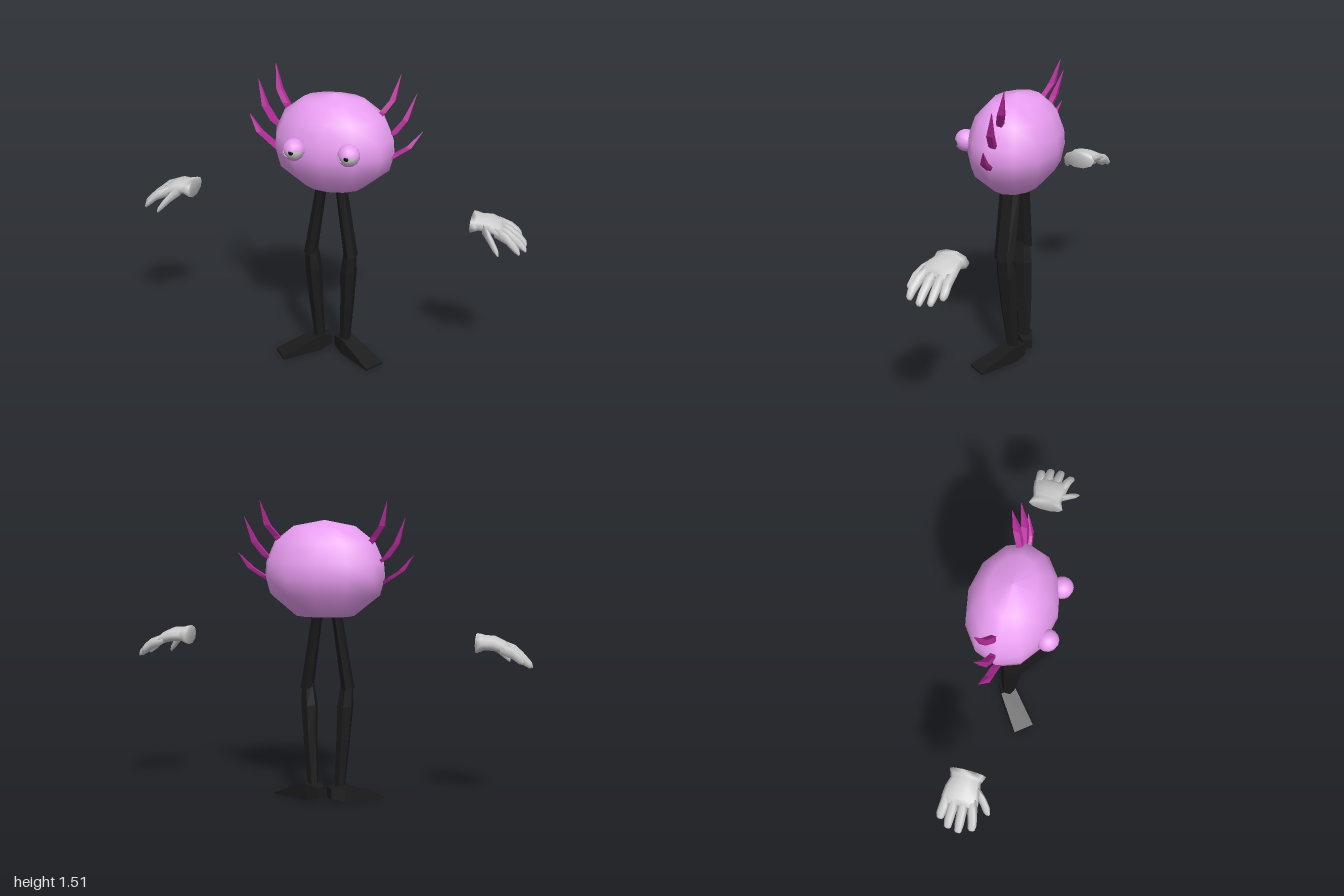
import * as THREE from 'three';

const MID = 0.02; // mirror line of the body; the hands mirror about x = 0

const material = (color, flatShading = false) =>
  new THREE.MeshStandardMaterial({ color, flatShading, side: THREE.DoubleSide });

function addMesh(parent, name, geometry, mat, x = 0, y = 0, z = 0) {
  const mesh = new THREE.Mesh(geometry, mat);
  mesh.name = name;
  mesh.position.set(x, y, z);
  parent.add(mesh);
  return mesh;
}

// Closed skin over rings [x, y, z, halfA, halfB]. Rings lie across the given axis:
// 'y' -> halfA along x, halfB along z; 'x' -> halfA along y, halfB along z.
// s = -1 mirrors the result in x.
function loft(rings, axis, sides, s = 1) {
  const pos = [], index = [], k = 1 / Math.cos(Math.PI / sides);
  const tri = (a, b, c) => (s > 0 ? index.push(a, b, c) : index.push(a, c, b));
  for (const [x, y, z, a, b] of rings) {
    for (let i = 0; i < sides; i++) {
      const t = ((i + 0.5) / sides) * Math.PI * 2;
      const u = a * k * Math.cos(t), v = b * k * Math.sin(t);
      if (axis === 'y') pos.push(s * (x + u), y, z - v);
      else pos.push(s * x, y + u, z + v);
    }
  }
  const last = (rings.length - 1) * sides;
  for (let r = 0; r < last; r += sides) {
    for (let i = 0; i < sides; i++) {
      const a = r + i, b = r + ((i + 1) % sides);
      tri(a, b, b + sides);
      tri(a, b + sides, a + sides);
    }
  }
  for (let i = 1; i < sides - 1; i++) {
    tri(0, i + 1, i);
    tri(last, last + i, last + i + 1);
  }
  const g = new THREE.BufferGeometry();
  g.setAttribute('position', new THREE.Float32BufferAttribute(pos, 3));
  g.setIndex(index);
  g.computeVertexNormals();
  return g;
}

export function createModel() {
  const model = new THREE.Group();
  const pink = material(0xe89cf0);
  const magenta = material(0xb52a9a, true);
  const black = material(0x1a1a1a, true);
  const pupilBlack = material(0x0a0a0a);
  const grey = material(0xcccccc);

  // Round head-body: a coarse turned profile, wider than deep
  const profile = [[0, 0.94], [0.5, 0.945], [0.93, 1.05], [1.01, 1.14], [0.99, 1.21],
    [0.84, 1.31], [0.52, 1.385], [0, 1.415]].map(([r, y]) => new THREE.Vector2(r, y));
  const bodyGeometry = new THREE.LatheGeometry(profile, 12);
  bodyGeometry.scale(0.3, 1, 0.217);
  addMesh(model, 'body', bodyGeometry, pink, 0.03, 0, -0.02);

  for (const s of [1, -1]) {
    const side = s > 0 ? 'left' : 'right';

    // Eye with heavy upper lid and lower lid
    const eye = new THREE.Group();
    eye.name = side + 'Eye';
    eye.position.set(0.027 + s * 0.136, 1.185, 0.185);
    model.add(eye);
    addMesh(eye, 'eyeball', new THREE.SphereGeometry(0.047, 16, 12), grey);
    const pupil = addMesh(eye, 'pupil', new THREE.SphereGeometry(0.012, 12, 8), pupilBlack, 0, -0.002, 0.044);
    pupil.scale.z = 0.5;
    const upper = addMesh(eye, 'upperLid',
      new THREE.SphereGeometry(0.054, 14, 6, 0, Math.PI * 2, 0, Math.PI / 2), pink);
    upper.rotation.x = -0.15;
    const lower = addMesh(eye, 'lowerLid',
      new THREE.SphereGeometry(0.054, 14, 6, 0, Math.PI * 2, Math.PI / 2, Math.PI / 2), pink);
    lower.rotation.x = 0.55;

    // Three curved, tapering gill stalks
    const stalks = [
      [[0.2, 1.27, -0.035], [0.245, 1.335, -0.05], [0.285, 1.39, -0.075], [0.315, 1.51, -0.105]],
      [[0.25, 1.2, -0.03], [0.305, 1.24, -0.04], [0.355, 1.305, -0.055], [0.4, 1.43, -0.085]],
      [[0.27, 1.1, -0.01], [0.32, 1.135, -0.025], [0.38, 1.175, -0.035], [0.44, 1.253, -0.06]],
    ];
    stalks.forEach((path, n) => {
      const rings = path.map((p, i) =>
        [...p, [0.012, 0.016, 0.014, 0.001][i], [0.01, 0.014, 0.015, 0.001][i]]);
      addMesh(model, `${side}Stalk${n + 1}`, loft(rings, 'y', 4, s), magenta, MID);
    });

    // Leg: upper tube overlapping a lower one at the knee
    addMesh(model, side + 'UpperLeg', loft([
      [0.105, 0.575, 0.002, 0.028, 0.048],
      [0.04, 1.01, -0.008, 0.02, 0.048],
    ], 'y', 6, s), black, MID);
    addMesh(model, side + 'LowerLeg', loft([
      [0.068, 0.07, -0.028, 0.024, 0.027],
      [0.083, 0.3, -0.015, 0.03, 0.04],
      [0.092, 0.49, -0.004, 0.036, 0.046],
      [0.1, 0.6, 0.002, 0.026, 0.038],
    ], 'y', 6, s), black, MID);

    // Wedge foot turned outwards
    const foot = addMesh(model, side + 'Foot', loft([
      [-0.055, 0.052, 0, 0.026, 0.025],
      [0.015, 0.051, 0, 0.042, 0.042],
      [0.225, 0.007, 0, 0.006, 0.055],
    ], 'x', 4, s), black, MID + s * 0.067, 0, -0.033);
    foot.rotation.y = -s * (s > 0 ? 0.55 : 0.68);

    // Floating gloved hand
    const hand = new THREE.Group();
    hand.name = side + 'Hand';
    model.add(hand);
    addMesh(hand, 'palm', loft([
      [0.725, 0.83, -0.035, 0.046, 0.085],
      [0.75, 0.832, -0.035, 0.04, 0.076],
      [0.765, 0.833, -0.035, 0.034, 0.07],
      [0.81, 0.832, -0.038, 0.034, 0.08],
      [0.86, 0.815, -0.038, 0.028, 0.086],
      [0.885, 0.802, -0.038, 0.018, 0.08],
    ], 'x', 10, s), grey);

    // [knuckle z, tip z, tip x, tip y]
    const fingers = [[-0.1, -0.112, 0.957, 0.745], [-0.06, -0.068, 0.988, 0.722],
      [-0.017, -0.015, 0.995, 0.715], [0.024, 0.045, 0.972, 0.722]];
    fingers.forEach(([z0, z1, x, y], n) => {
      addMesh(hand, `finger${n + 1}`, loft([
        [0.845, 0.815, z0, 0.024, 0.021],
        [0.905, 0.792, (z0 + z1) / 2, 0.024, 0.021],
        [0.905 + (x - 0.905) * 0.6, 0.792 + (y - 0.792) * 0.5, z1, 0.022, 0.019],
        [x - 0.005, y + 0.012, z1, 0.014, 0.015],
        [x, y + 0.004, z1, 0.005, 0.008],
      ], 'x', 6, s), grey);
    });
    addMesh(hand, 'thumb', loft([
      [0.785, 0.825, 0.015, 0.026, 0.024],
      [0.82, 0.8, 0.055, 0.025, 0.022],
      [0.85, 0.768, 0.083, 0.022, 0.02],
      [0.875, 0.738, 0.097, 0.014, 0.014],
      [0.88, 0.73, 0.1, 0.005, 0.007],
    ], 'x', 6, s), grey);
  }
  return model;
}
